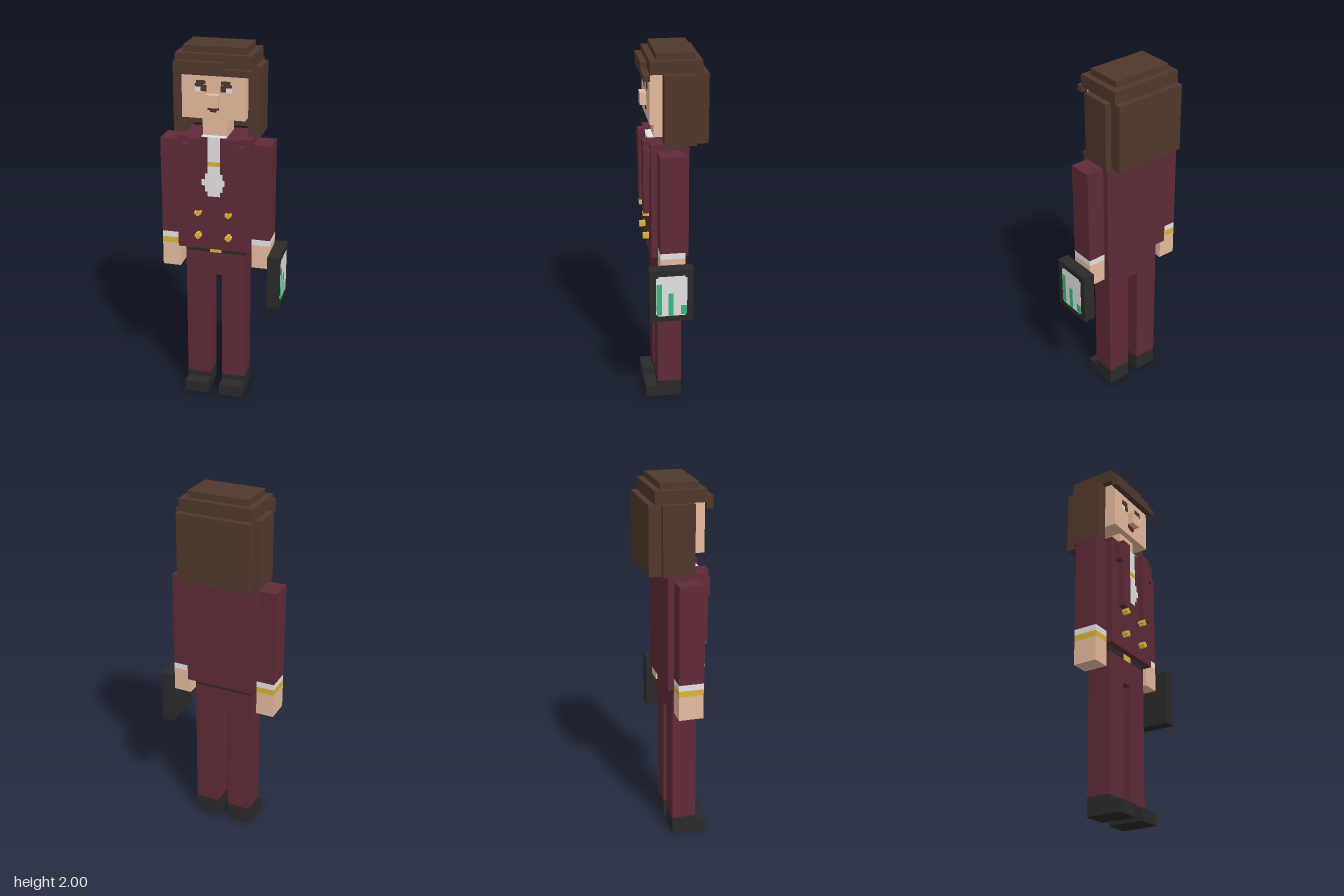
import * as THREE from 'three';

const mat = (name, color) => {
  const m = new THREE.MeshStandardMaterial({ color });
  m.name = name;
  return m;
};

export function createModel() {
  const maroon = mat('maroon cloth', 0x5f2a37);
  const skin = mat('skin', 0xe6bb9f);
  const hair = mat('brown hair', 0x50372b);
  const black = mat('black', 0x2a2a2a);
  const white = mat('white', 0xe4e2e2);
  const gold = mat('gold', 0xdab43c);
  const green = mat('green', 0x3cb87a);
  const lip = mat('lip red', 0x5e2030);

  const model = new THREE.Group();
  model.name = 'suitedFigure';
  const U = 1 / 30; // one block
  const C = -U; // middle line of the body

  // Box from its low and high corners, in blocks; x is measured from the body's middle line
  const box = (name, m, x0, x1, y0, y1, z0, z1) => {
    const g = new THREE.BoxGeometry((x1 - x0) * U, (y1 - y0) * U, (z1 - z0) * U);
    const mesh = new THREE.Mesh(g, m);
    mesh.name = name;
    mesh.position.set(((x0 + x1) / 2) * U + C, ((y0 + y1) / 2) * U, ((z0 + z1) / 2) * U);
    model.add(mesh);
    return mesh;
  };
  // The same box on both sides of the middle line
  const pair = (name, m, x0, x1, ...rest) => {
    box(name + 'Left', m, x0, x1, ...rest);
    box(name + 'Right', m, -x1, -x0, ...rest);
  };
  // Thin painted plate on a surface facing +z
  const plate = (name, m, x0, x1, y0, y1, z) => box(name, m, x0, x1, y0, y1, z - 0.05, z + 0.05);

  // Shoes, legs, hips and belt
  pair('shoe', black, 1, 5, 0, 3, -1, 3);
  pair('shoeToe', black, 1, 5, 0, 2, 3, 5);
  pair('leg', maroon, 1, 5, 3, 22, -1, 3);
  box('hips', maroon, -5, 5, 22, 26, -1, 3);
  box('belt', black, -5, 5, 26, 27, -1, 3);
  plate('buckle', gold, -1, 1, 26, 27, 3);

  // Jacket with lapels
  box('jacket', maroon, -6, 6, 27, 46, -2, 4);
  pair('lapel', maroon, 2, 4, 34, 46, 4, 5);
  pair('lapelNotch', maroon, 4, 5, 42, 45, 4, 5);

  // Shirt front and cravat
  plate('shirt', white, -1, 1, 36.2, 46, 4);
  for (const [w, y0, y1] of [[1.4, 37, 40], [2, 38, 39]]) {
    plate('cravat', white, -w, w, y0, y1, 4.02);
  }
  plate('tiePin', gold, -1, 1, 41.3, 42, 4.06);
  box('collar', white, -2, 2, 45.95, 46.05, 3, 4);

  // Plus-shaped buttons
  for (const x of [-2.5, 2.5]) {
    for (const y of [29.5, 33.5]) {
      box('button', gold, x - 0.5, x + 0.5, y - 0.22, y + 0.22, 4, 5);
      box('button', gold, x - 0.22, x + 0.22, y - 0.5, y + 0.5, 4, 5);
    }
  }

  // Arms, cuffs and hands
  pair('sleeve', maroon, 6, 9, 29, 45, -1, 3);
  pair('cuff', white, 6, 9, 28, 29, -1, 3);
  box('cuffBandRight', gold, -9, -6, 27, 28, -1, 3);
  box('handRight', skin, -9, -6, 23, 27, -1, 3);
  box('handLeft', skin, 6, 9, 24, 28, -1, 3);

  // Tablet with a bar chart on its outer face
  box('tablet', black, 9, 11, 18, 27, -2, 5);
  const screen = (name, m, y0, y1, z0, z1, lift) =>
    box(name, m, 11 - 0.05, 11 + lift, y0, y1, z0, z1);
  screen('screen', white, 19, 26, -0.7, 3.7, 0.04);
  screen('screenEdge', white, 19.3, 25.7, -1, 4, 0.03);
  screen('chartBar', green, 19.2, 24.7, 3.05, 3.9, 0.08);
  screen('chartBar', green, 19, 23, 1.2, 2, 0.08);
  screen('chartBar', green, 19.2, 20.8, -0.95, 0, 0.08);

  // Neck, head and nose
  box('neck', skin, -2, 2, 46, 49, -1, 3);
  box('head', skin, -5, 5, 49, 57, -3, 4);
  box('nose', skin, -1, 1, 51, 53, 4, 5);

  // Painted face
  plate('mouth', lip, -0.9, 0.9, 50.4, 51, 4);
  plate('lowerLip', lip, -0.5, 0.5, 50.1, 50.5, 4.01);
  pair('brow', hair, 1.2, 2.7, 54.4, 55, 3.95, 4.06);
  pair('browEnd', hair, 1.6, 2.9, 54, 54.5, 3.95, 4.05);
  pair('eyeWhite', white, 2, 2.9, 53.2, 54.1, 3.95, 4.04);
  pair('iris', hair, 1.1, 2, 53.3, 54.3, 3.95, 4.05);

  // Hair: back, sides, crown and uneven fringe
  box('hairBack', hair, -6, 6, 46, 57, -5, -3);
  pair('hairInnerSide', hair, 5, 6, 46, 57, -3, 2);
  pair('hairOuterSide', hair, 6, 7, 46, 57, -3, 2);
  box('hairCrown', hair, -6, 6, 57, 59, -4, 4);
  box('hairTop', hair, -5, 5, 59, 60, -3, 3);
  box('fringeRight', hair, -6, 2, 56, 58, 4, 5);
  box('fringeLeft', hair, 2, 6, 56, 57, 4, 5);

  return model;
}
